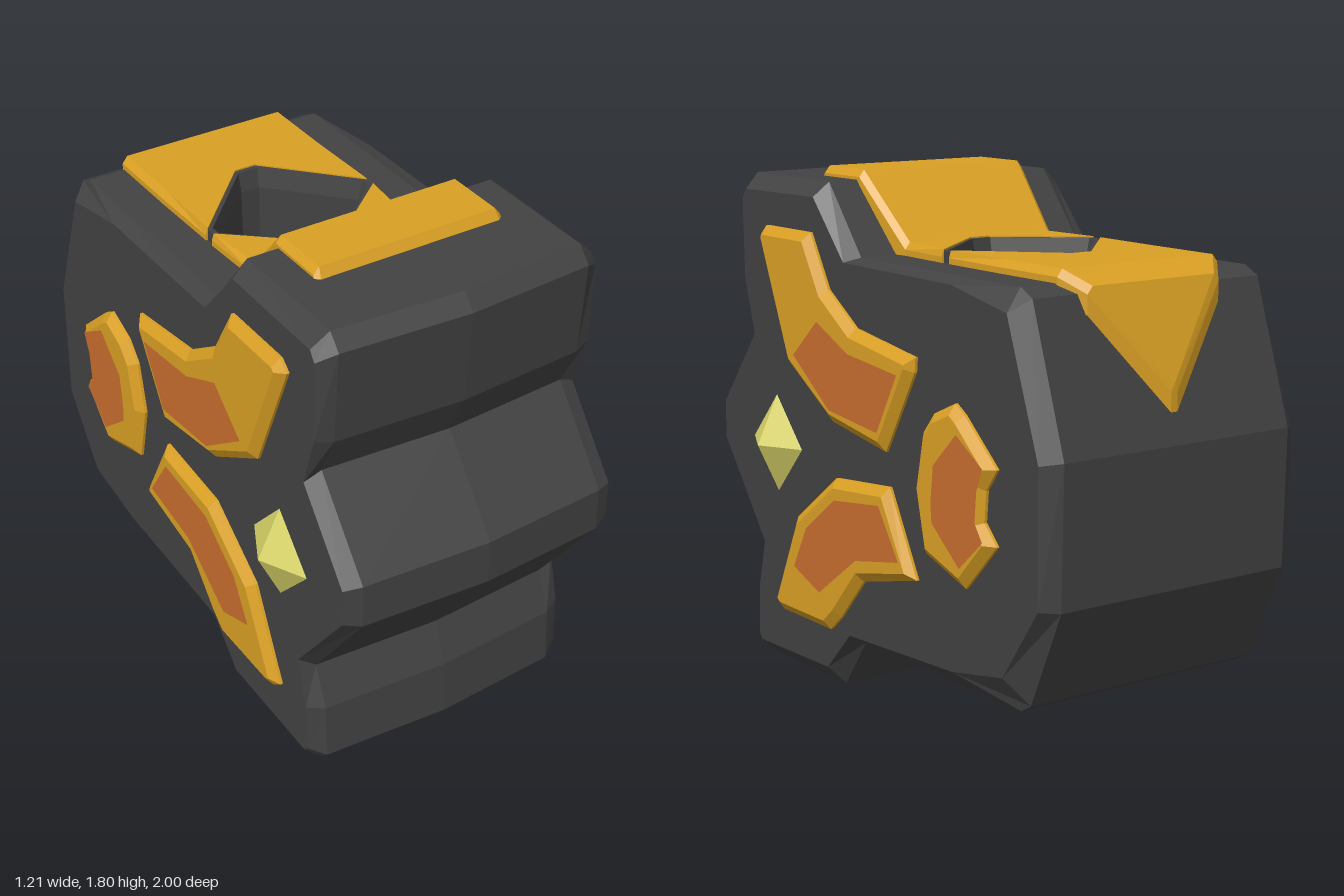
import * as THREE from 'three';

const mat = (name, color) => Object.assign(new THREE.MeshStandardMaterial({ color }), { name });

// Skin closed rings of [x, y, z] points; skip(i, j) leaves a face open
function loft(rings, flip = false, skip = () => false) {
  const pos = [];
  const n = rings[0].length;
  for (let i = 0; i < rings.length - 1; i++) {
    for (let j = 0; j < n; j++) {
      if (skip(i, j)) continue;
      const k = (j + 1) % n;
      const a = rings[i][j], b = rings[i][k], c = rings[i + 1][k], d = rings[i + 1][j];
      pos.push(...(flip ? [a, c, d, a, b, c] : [a, d, c, a, c, b]).flat());
    }
  }
  const g = new THREE.BufferGeometry();
  g.setAttribute('position', new THREE.Float32BufferAttribute(pos, 3));
  g.computeVertexNormals();
  return g;
}

const collapse = (ring, p) => ring.map(() => p);
const shapeOf = (pts) => new THREE.Shape(pts.map(([x, y]) => new THREE.Vector2(x, y)));

// Side profile of the head as [z, y]: full outline and its chamfered side outline
const OUTER = [
  [0.855, 1.715], [0.807, 1.77], [0.3, 1.77], [0.105, 1.53], [-0.78, 1.53], [-0.84, 1.5], [-1, 1.02],
  [-0.99, 0.55], [-0.84, 0.215], [-0.79, 0.185], [0.105, 0.185], [0.235, 0.005], [0.755, 0.005],
  [0.795, 0.045], [0.785, 0.25], [0.725, 0.4], [1, 0.77], [1, 0.93], [0.76, 1.23], [0.83, 1.38],
];
const INNER = [
  [0.785, 1.68], [0.76, 1.715], [0.31, 1.72], [0.125, 1.515], [-0.5, 1.51], [-0.79, 1.455], [-0.95, 1.01],
  [-0.95, 0.555], [-0.77, 0.3], [-0.5, 0.25], [0.115, 0.22], [0.26, 0.07], [0.715, 0.06],
  [0.73, 0.08], [0.725, 0.26], [0.68, 0.44], [0.945, 0.785], [0.945, 0.92], [0.72, 1.2], [0.78, 1.39],
];
const TOP_FACE = 3;

// Diamond socket outline with blunted corners, scaled about its centre
const diamond = (k, y) => [
  [0.04, -0.5], [0.315, -0.21], [0.315, -0.17], [0.04, 0.07],
  [-0.04, 0.07], [-0.315, -0.17], [-0.315, -0.21], [-0.04, -0.5],
].map(([x, z]) => [x * k, y, -0.205 + (z + 0.205) * k]);

// Raised side panels and their inlays as [z, y]
const PANELS = [
  {
    name: 'upperPanel',
    edge: [[0.645, 1.565], [0.605, 1.6], [0.315, 1.6], [0.205, 1.415], [0.035, 1.305], [-0.315, 1.255],
      [-0.31, 1.205], [-0.14, 0.915], [0.185, 0.965], [0.46, 1.13]],
    inlay: [[0.395, 1.17], [0.24, 1.305], [0.05, 1.22], [-0.245, 1.19], [-0.125, 0.98], [0.17, 1.01]],
  },
  {
    name: 'lowerPanel',
    edge: [[0.58, 0.255], [0.425, 0.585], [0.17, 0.77], [-0.16, 0.8], [-0.315, 0.515], [0.005, 0.44],
      [0.15, 0.28], [0.22, 0.22], [0.535, 0.22]],
    inlay: [[0.415, 0.41], [0.33, 0.565], [0.145, 0.7], [-0.13, 0.735], [-0.245, 0.565], [0.015, 0.515], [0.25, 0.35]],
  },
  {
    name: 'backPanel',
    edge: [[-0.32, 0.835], [-0.36, 1.02], [-0.42, 1.09], [-0.535, 1.14], [-0.585, 1.11], [-0.755, 0.965],
      [-0.7, 0.89], [-0.69, 0.785], [-0.755, 0.72], [-0.59, 0.55], [-0.37, 0.62]],
    inlay: [[-0.435, 0.805], [-0.45, 0.93], [-0.575, 1.05], [-0.715, 0.965], [-0.685, 0.89],
      [-0.675, 0.785], [-0.715, 0.73], [-0.59, 0.62], [-0.44, 0.74]],
  },
];

// Top strip rows: z, inner half-width, outer half-width, top height
const STRIP_FRONT = [
  [0.525, 0, 0.345, 1.77], [0.505, 0, 0.34, 1.805], [0.285, 0, 0.34, 1.805], [0.06, 0, 0.305, 1.575],
  [0.06, 0.04, 0.305, 1.575], [-0.17, 0.315, 0.315, 1.575],
];
const STRIP_BACK = [
  [-0.21, 0.315, 0.315, 1.575], [-0.5, 0.04, 0.32, 1.575], [-0.5, 0, 0.32, 1.575], [-0.79, 0, 0.32, 1.575],
  [-0.865, 0, 0.26, 1.525], [-0.968, 0, 0.005, 1.21],
];

function stripHalf(rows, s) {
  const rings = rows.map(([z, xi, xo, y]) => [
    [xi, y - 0.09], [xo + 0.008, y - 0.09], [xo + 0.008, y - 0.025], [Math.max(xi, xo - 0.012), y], [xi, y],
  ].map(([x, h]) => [s * x, h, z]));
  const first = rings[0], last = rings[rings.length - 1];
  return loft([collapse(first, first[0]), ...rings, collapse(last, last[0])], s < 0);
}

export function createModel() {
  const root = new THREE.Group();
  root.name = 'hammerHead';
  const stone = mat('charcoal', 0x424242);
  const gold = mat('gold', 0xdaa024);
  const copper = mat('copper', 0xc86e2f);
  const crystal = mat('paleYellow', 0xd8d468);
  const add = (name, geo, material, parent = root) => {
    const m = new THREE.Mesh(geo, material);
    m.name = name;
    parent.add(m);
    return m;
  };

  // Chamfered head, slightly bowed across the front, open where the socket sits
  const side = (x) => INNER.map(([z, y]) => [x, y, z]);
  const edge = (x) => OUTER.map(([z, y]) => [x, y, z > 0.7 ? z - 0.03 : z]);
  const middle = OUTER.map(([z, y]) => [0, y, z]);
  const rings = [
    collapse(middle, [-0.52, 0.88, 0.1]), side(-0.52), edge(-0.46), middle,
    edge(0.46), side(0.52), collapse(middle, [0.52, 0.88, 0.1]),
  ];
  add('headBody', loft(rings, false, (i, j) => j === TOP_FACE && (i === 2 || i === 3)), stone);

  // Top face with the socket opening
  const top = shapeOf([[-0.46, -0.105], [0.46, -0.105], [0.46, 0.78], [-0.46, 0.78]]);
  top.holes.push(new THREE.Path(diamond(0.95, 0).map(([x, , z]) => new THREE.Vector2(x, -z))));
  add('topFace', new THREE.ShapeGeometry(top).rotateX(-Math.PI / 2).translate(0, 1.53, 0), stone);

  // Socket rim, tapered walls and floor
  const floor = diamond(0.86, 0.95);
  add('handleSocket', loft([
    diamond(1, 1.5), diamond(1, 1.57), diamond(0.94, 1.57), diamond(0.89, 1.5), floor,
    collapse(floor, [0, 0.95, -0.205]),
  ]), stone);

  for (const s of [1, -1]) {
    const half = new THREE.Group();
    half.name = s > 0 ? 'leftDetails' : 'rightDetails';
    root.add(half);
    add('frontStrip', stripHalf(STRIP_FRONT, s), gold, half);
    add('backStrip', stripHalf(STRIP_BACK, s), gold, half);

    // Bevelled panels with flat inlays
    const place = (g, x) => g.rotateY(s * Math.PI / 2).translate(s * x, 0, 0);
    const outline = (pts) => shapeOf(pts.map(([z, y]) => [-s * z, y]));
    for (const p of PANELS) {
      const slab = new THREE.ExtrudeGeometry(outline(p.edge), {
        depth: 0.04, bevelThickness: 0.025, bevelSize: 0.032, bevelOffset: -0.032, bevelSegments: 1,
      });
      add(p.name, place(slab, 0.49), gold, half);
      add(p.name + 'Inlay', place(new THREE.ShapeGeometry(outline(p.inlay)), 0.558), copper, half);
    }

    // Four-sided gem
    const gem = new THREE.OctahedronGeometry(1).scale(0.083, 0.175, 0.163);
    add('gem', gem.translate(s * 0.52, 0.825, 0.573), crystal, half);
  }
  return root;
}
